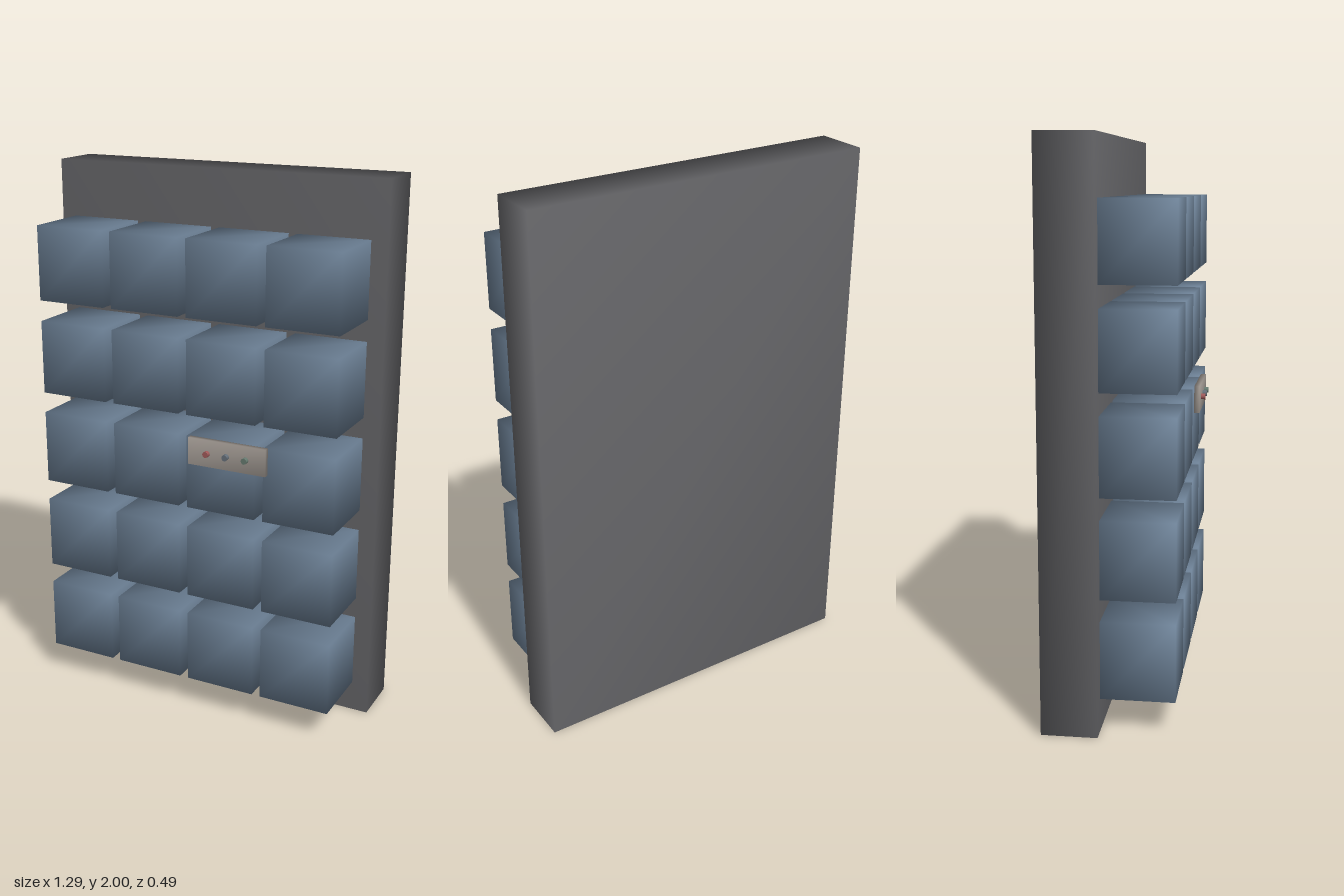
import * as THREE from 'three';
import { mergeVertices } from 'three/addons/utils/BufferGeometryUtils.js';

// Box whose faces share corners, so the shading runs softly over its edges
function softBox(w, h, d) {
  const box = new THREE.BoxGeometry(w, h, d);
  box.deleteAttribute('normal');
  box.deleteAttribute('uv');
  const geometry = mergeVertices(box);
  geometry.computeVertexNormals();
  return geometry;
}

const paint = (color) => new THREE.MeshStandardMaterial({ color });

function addPart(parent, name, geometry, material, x, y, z) {
  const mesh = new THREE.Mesh(geometry, material);
  mesh.name = name;
  mesh.position.set(x, y, z);
  parent.add(mesh);
  return mesh;
}

export function createModel() {
  const model = new THREE.Group();
  model.name = 'paddedPanel';

  // Upright back panel
  addPart(model, 'backPanel', softBox(1.29, 2, 0.195), paint(0x666669), 0, 1, -0.1475);

  // Grid of blocks, four across and five high
  const blocks = new THREE.Group();
  blocks.name = 'blocks';
  model.add(blocks);
  const blockGeometry = softBox(0.268, 0.274, 0.257);
  const blockMaterial = paint(0x6c8095);
  for (let row = 0; row < 5; row++) {
    for (let col = 0; col < 4; col++) {
      addPart(blocks, `block${row + 1}_${col + 1}`, blockGeometry, blockMaterial,
        -0.454 + col * 0.301, 0.253 + row * 0.351, 0.0785);
    }
  }

  // Control plate on the front of the middle row
  const controls = new THREE.Group();
  controls.name = 'controls';
  controls.position.set(0.183, 1.046, 0);
  model.add(controls);
  addPart(controls, 'controlPlate', softBox(0.301, 0.1, 0.02), paint(0xa8a099), 0, 0, 0.219);

  // Three round buttons
  const buttonGeometry = new THREE.CylinderGeometry(0.011, 0.011, 0.02, 16).rotateX(Math.PI / 2);
  [0xa05a5a, 0x66707a, 0x667a70].forEach((color, i) => {
    addPart(controls, `button${i + 1}`, buttonGeometry, paint(color), (i - 1) * 0.075, 0, 0.235);
  });

  return model;
}
